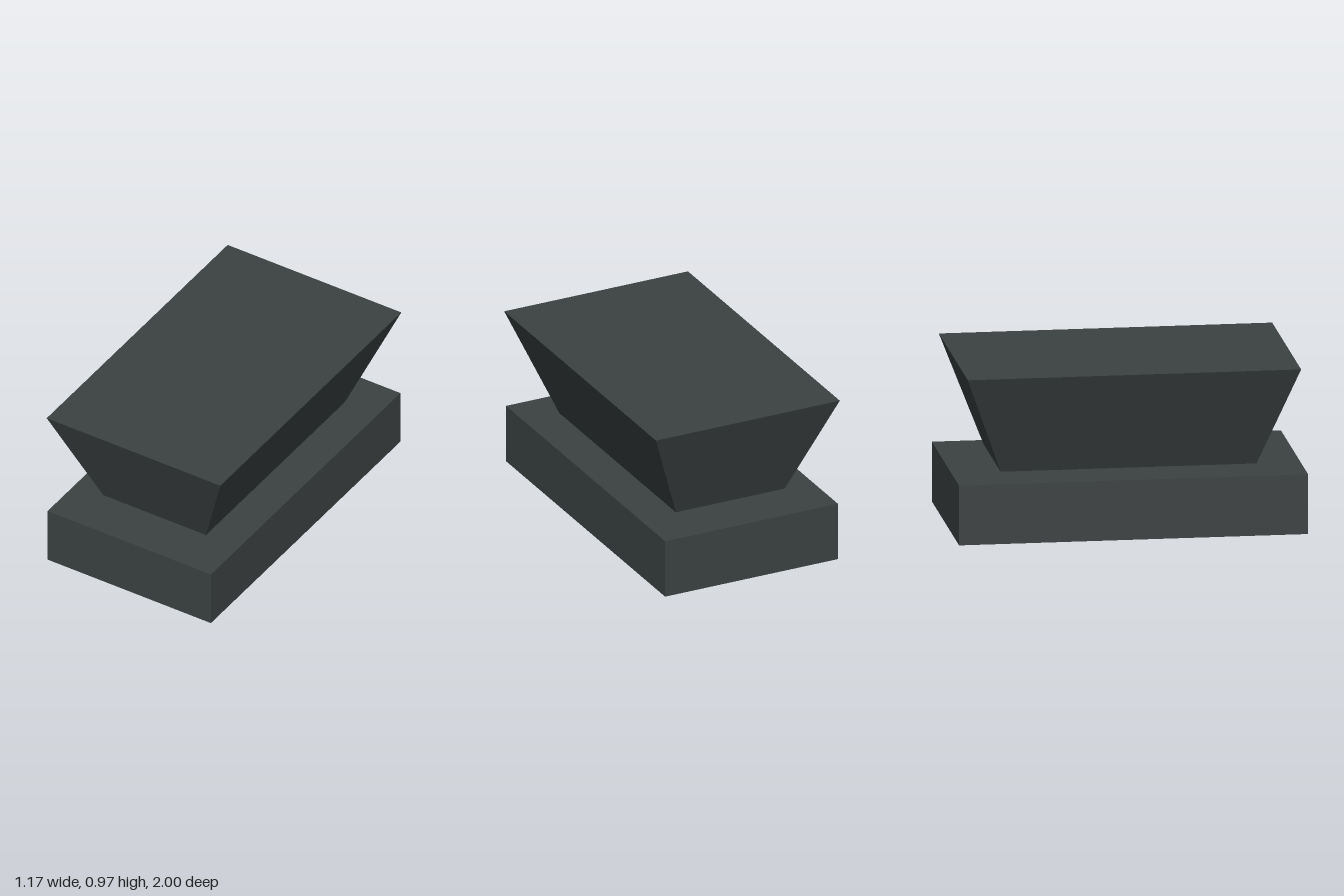
import * as THREE from 'three';

// Box standing on y0, with separate half sizes for its lower and upper faces
function taperedBlock(y0, y1, lower, upper) {
  const geometry = new THREE.BoxGeometry(2, y1 - y0, 2);
  geometry.translate(0, (y0 + y1) / 2, 0);
  const p = geometry.attributes.position;
  for (let i = 0; i < p.count; i++) {
    const [hx, hz] = p.getY(i) > (y0 + y1) / 2 ? upper : lower;
    p.setX(i, p.getX(i) * hx);
    p.setZ(i, p.getZ(i) * hz);
  }
  geometry.computeVertexNormals();
  return geometry;
}

export function createModel() {
  const group = new THREE.Group();
  const charcoal = new THREE.MeshStandardMaterial({ color: 0x3b4141 });
  charcoal.name = 'charcoal';

  const add = (name, geometry) => {
    const mesh = new THREE.Mesh(geometry, charcoal);
    mesh.name = name;
    group.add(mesh);
  };

  // Flat slab at the bottom
  add('base', taperedBlock(0, 0.348, [0.549, 1], [0.549, 1]));
  // Flared block hovering just above the slab
  add('flaredTop', taperedBlock(0.373, 0.969, [0.346, 0.733], [0.584, 0.955]));

  return group;
}
